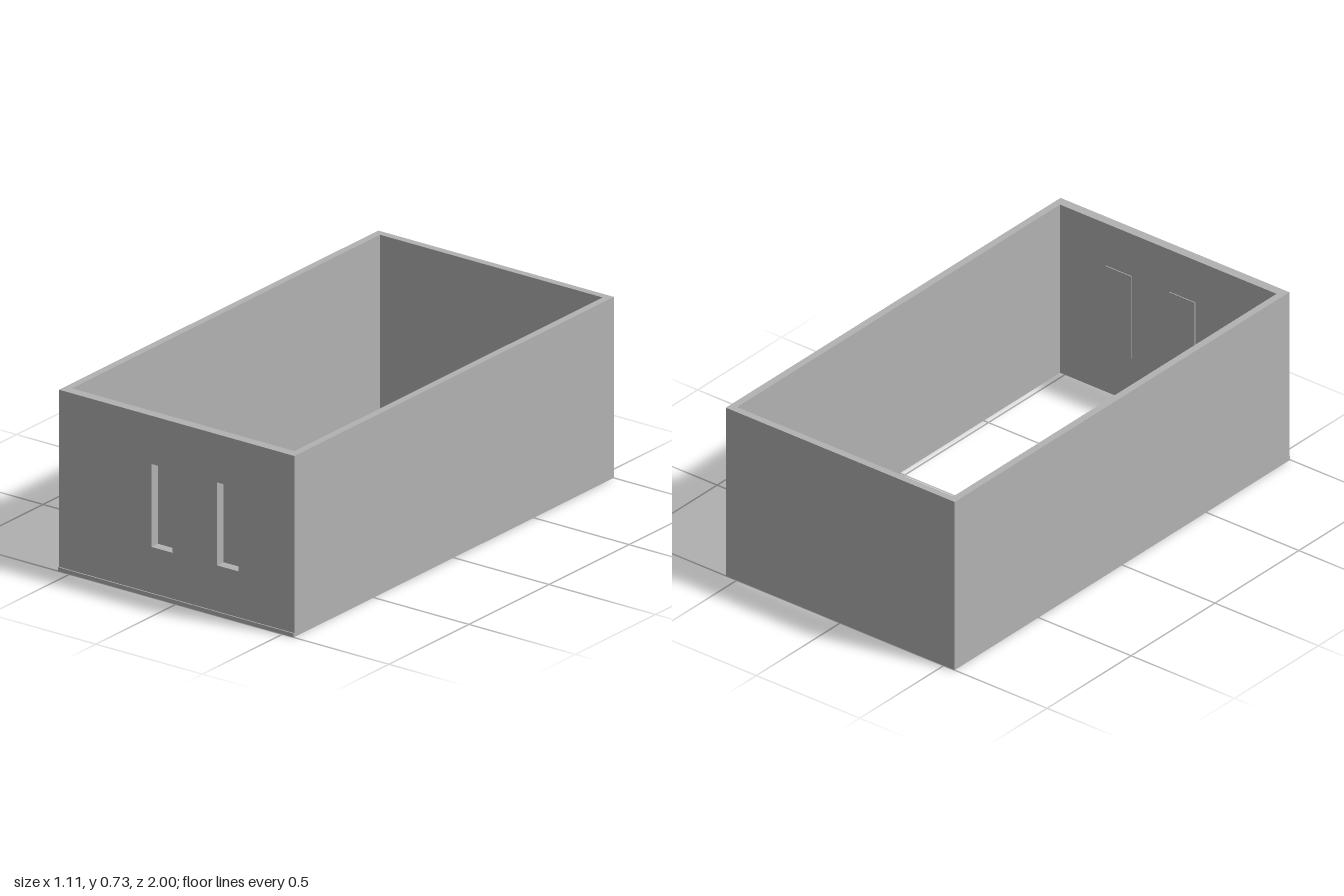
import * as THREE from 'three';

const W = 0.553, H = 0.733;            // half width, height
const BACK = -1, FRONT = 0.995;        // outer faces in z
const T = 0.03, INNER_FRONT = 0.955;   // wall thickness, inside of front wall
const SLOT = { w: 0.1, y0: 0.202, y1: 0.538, centres: [-0.069, 0.24] };
const LIP = 0.012;                     // cover overlap around each slot

export function createModel() {
  const group = new THREE.Group();
  const grey = new THREE.MeshStandardMaterial({ color: 0xb2b2b2 });
  grey.name = 'grey';

  const add = (name, geometry) => {
    const mesh = new THREE.Mesh(geometry, grey);
    mesh.name = name;
    group.add(mesh);
    return mesh;
  };
  const box = (name, x0, x1, y0, y1, z0, z1) =>
    add(name, new THREE.BoxGeometry(x1 - x0, y1 - y0, z1 - z0))
      .position.set((x0 + x1) / 2, (y0 + y1) / 2, (z0 + z1) / 2);
  const outline = (Type, points) => new Type(points.map(([x, y]) => new THREE.Vector2(x, y)));

  // Side and back walls: a U-shaped plan raised to full height
  const plan = outline(THREE.Shape, [
    [-W, -INNER_FRONT], [-W + T, -INNER_FRONT], [-W + T, -BACK - T], [W - T, -BACK - T],
    [W - T, -INNER_FRONT], [W, -INNER_FRONT], [W, -BACK], [-W, -BACK],
  ]);
  const walls = new THREE.ExtrudeGeometry(plan, { depth: H, bevelEnabled: false });
  walls.rotateX(-Math.PI / 2);
  add('sideAndBackWalls', walls);

  // Front wall with two upright slots
  const face = outline(THREE.Shape, [[-W, 0], [W, 0], [W, H], [-W, H]]);
  for (const c of SLOT.centres) {
    const a = c - SLOT.w / 2, b = c + SLOT.w / 2;
    face.holes.push(outline(THREE.Path, [[a, SLOT.y0], [a, SLOT.y1], [b, SLOT.y1], [b, SLOT.y0]]));
  }
  const front = new THREE.ExtrudeGeometry(face, { depth: FRONT - INNER_FRONT, bevelEnabled: false });
  front.translate(0, 0, INNER_FRONT);
  add('frontWall', front);

  // Thin covers closing the slots from inside
  SLOT.centres.forEach((c, i) => {
    const half = SLOT.w / 2 + LIP;
    box(`slotCover${i + 1}`, c - half, c + half, SLOT.y0 - LIP, SLOT.y1 + LIP, INNER_FRONT - 0.004, INNER_FRONT);
  });

  // Shallow strip along the foot of the front wall
  box('frontStrip', -W, W, 0, 0.016, FRONT, 1);

  return group;
}
